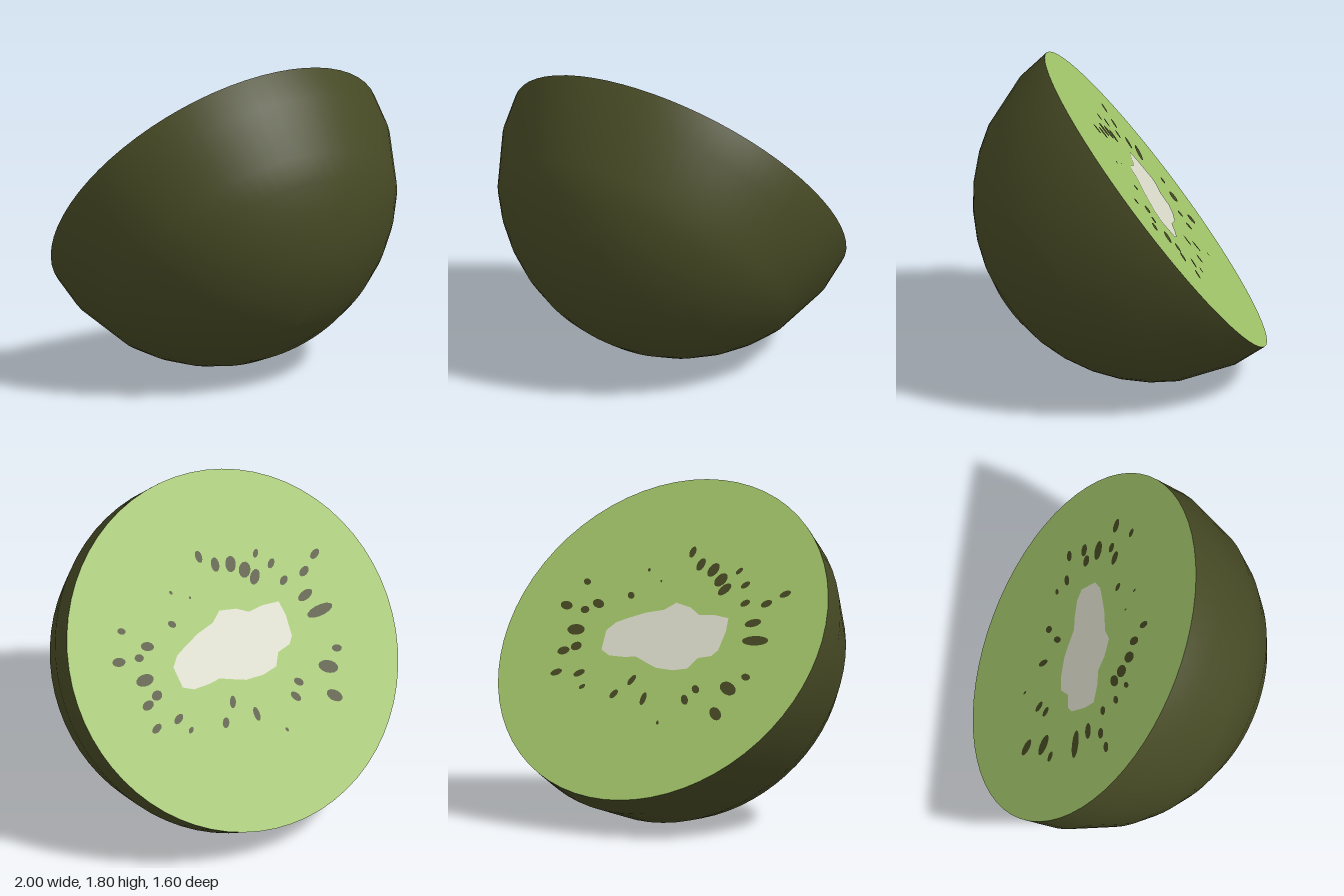
import * as THREE from 'three';

const skinMat = new THREE.MeshStandardMaterial({ name: 'skin brown', color: 0x464924 });
const fleshMat = new THREE.MeshStandardMaterial({ name: 'flesh green', color: 0x9fc268 });
const coreMat = new THREE.MeshStandardMaterial({ name: 'core cream', color: 0xd8d8c8 });
const seedMat = new THREE.MeshStandardMaterial({ name: 'seed brown', color: 0x454722 });

// Outline of the pale core on the cut face: [across, along]
const CORE = [
  [-0.37, -0.03], [-0.34, -0.07], [-0.26, -0.09], [-0.22, -0.16], [-0.13, -0.18], [-0.02, -0.175],
  [0.05, -0.15], [0.13, -0.12], [0.2, -0.13], [0.3, -0.13], [0.36, -0.1], [0.375, 0.02],
  [0.33, 0.075], [0.26, 0.11], [0.17, 0.15], [0.06, 0.18], [0, 0.23], [-0.1, 0.21],
  [-0.17, 0.17], [-0.26, 0.18], [-0.36, 0.17], [-0.375, 0.09],
];

// Seeds: [across, along, half length, half width], each pointing away from the centre
const SEEDS = [
  [-0.5, -0.415, 0.05, 0.03], [-0.52, -0.255, 0.06, 0.035], [-0.605, -0.175, 0.03, 0.02],
  [-0.58, 0.05, 0.083, 0.03], [-0.525, 0.155, 0.05, 0.025], [-0.565, 0.28, 0.035, 0.022],
  [-0.66, 0.35, 0.035, 0.02], [-0.43, 0.27, 0.03, 0.02], [-0.39, 0.38, 0.03, 0.018],
  [-0.32, 0.46, 0.025, 0.015], [-0.27, 0.34, 0.045, 0.028], [-0.225, 0.395, 0.045, 0.035],
  [-0.155, 0.45, 0.045, 0.032], [-0.065, 0.475, 0.04, 0.025], [0.015, 0.545, 0.035, 0.02],
  [0.145, 0.35, 0.008, 0.006], [0.245, 0.41, 0.012, 0.008], [0.3, 0.245, 0.025, 0.018],
  [0.485, 0.175, 0.04, 0.025], [0.555, 0.13, 0.028, 0.022], [0.605, 0.3, 0.025, 0.018],
  [0.68, 0.145, 0.04, 0.025], [0.565, 0.005, 0.055, 0.033], [0.525, -0.095, 0.033, 0.027],
  [0.595, -0.13, 0.037, 0.025], [0.59, -0.265, 0.035, 0.02], [0.445, -0.255, 0.035, 0.02],
  [0.395, -0.335, 0.02, 0.013], [0.18, -0.36, 0.03, 0.02], [0.1, -0.265, 0.035, 0.018],
  [-0.015, -0.37, 0.04, 0.018], [-0.16, -0.505, 0.013, 0.008], [-0.275, -0.35, 0.035, 0.02],
  [-0.32, -0.28, 0.03, 0.02],
];

function addMesh(parent, name, geometry, material) {
  const mesh = new THREE.Mesh(geometry, material);
  mesh.name = name;
  parent.add(mesh);
  return mesh;
}

export function createModel() {
  const model = new THREE.Group();
  model.name = 'halvedFruit';

  // Half fruit, built with its cut face up and then tipped backwards
  const half = new THREE.Group();
  half.name = 'fruitHalf';
  half.position.set(0, 1, -0.2);
  half.rotation.x = -Math.atan2(0.8, 0.6);
  model.add(half);

  // Rounded skin
  const profile = [0, 8, 17, 25, 34, 43, 52, 61, 79, 90].map((deg) => {
    const a = THREE.MathUtils.degToRad(deg);
    return new THREE.Vector2(Math.sin(a), -Math.cos(a));
  });
  addMesh(half, 'skin', new THREE.LatheGeometry(profile, 64), skinMat);

  // Flat cut face
  addMesh(half, 'flesh', new THREE.CircleGeometry(1, 64).rotateX(-Math.PI / 2), fleshMat);

  // Irregular core
  const outline = new THREE.Shape(CORE.map(([x, v]) => new THREE.Vector2(x, -v)));
  const core = addMesh(half, 'core', new THREE.ShapeGeometry(outline).rotateX(-Math.PI / 2), coreMat);
  core.position.y = 0.003;

  // Ring of oval seeds
  const seeds = new THREE.Group();
  seeds.name = 'seeds';
  half.add(seeds);
  const oval = new THREE.CircleGeometry(1, 14).rotateX(-Math.PI / 2);
  for (const [x, v, length, width] of SEEDS) {
    const seed = addMesh(seeds, 'seed', oval, seedMat);
    seed.position.set(x, 0.004, v);
    seed.rotation.y = -Math.atan2(v, x);
    seed.scale.set(length, 1, width);
  }

  return model;
}
